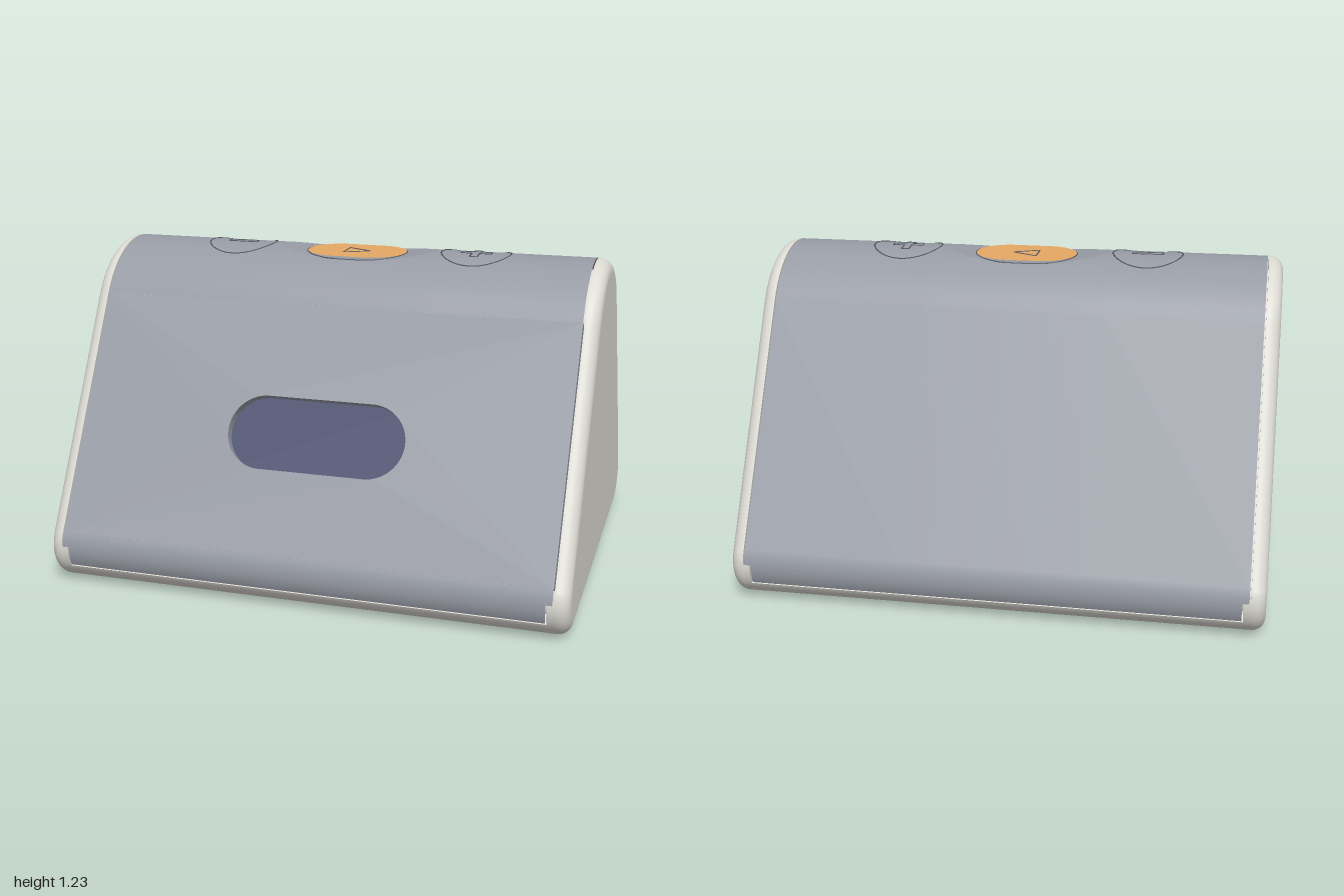
import * as THREE from 'three';

const mat = (name, color, side = THREE.FrontSide) => {
  const m = new THREE.MeshStandardMaterial({ color, side });
  m.name = name;
  return m;
};
const rad = THREE.MathUtils.degToRad;

// Rounded triangle section: one ridge circle and two foot circles, [z, y, radius]
const RIDGE = [0, 0.87, 0.355], FRONT = [0.67, 0.14, 0.14], BACK = [-0.67, 0.14, 0.14];
const arc = ([z, y, r], a0, a1, n, inset = 0) => Array.from({ length: n + 1 }, (_, i) => {
  const a = rad(a0 + (a1 - a0) * i / n);
  return new THREE.Vector2(z + (r - inset) * Math.cos(a), y + (r - inset) * Math.sin(a));
});
const profile = (inset) => [
  ...arc(RIDGE, 30, 150, 40, inset), ...arc(BACK, 150, 270, 24, inset), ...arc(FRONT, 270, 390, 24, inset),
];

// Shallow thumb scoop across the ridge
const scoopY = (x) => 1.197 + 1.73 - Math.sqrt(1.73 ** 2 - Math.min(Math.abs(x), 1) ** 2);
const topY = (x, z) => Math.min(0.87 + Math.sqrt(0.355 ** 2 - z * z), scoopY(x));
const playY = (x) => scoopY(x) + 0.002 + 0.01 * (1 - (x / 0.2) ** 2);

// Smooth surface through a grid of points; rows run over the ridge, columns along x
function grid(rows, cols, fn, closed = false) {
  const pos = [], idx = [];
  for (let i = 0; i < rows; i++) for (let j = 0; j < cols; j++) pos.push(...fn(i, j));
  for (let i = 0; i < (closed ? rows : rows - 1); i++) {
    for (let j = 0; j < cols - 1; j++) {
      const a = i * cols + j, c = ((i + 1) % rows) * cols + j;
      idx.push(a, a + 1, c, a + 1, c + 1, c);
    }
  }
  const g = new THREE.BufferGeometry();
  g.setAttribute('position', new THREE.Float32BufferAttribute(pos, 3));
  g.setIndex(idx);
  g.computeVertexNormals();
  return g;
}

// Extrude a (z, y) section along x
function slab(points, x0, x1, holes = []) {
  const shape = new THREE.Shape(points.map((p) => new THREE.Vector2(-p.x, p.y)));
  shape.holes.push(...holes);
  return new THREE.ExtrudeGeometry(shape, { depth: x1 - x0, bevelEnabled: false, curveSegments: 12 })
    .rotateY(Math.PI / 2).translate(x0, 0, 0);
}
const hole = (x, y, r) => new THREE.Path().absarc(x, y, r, 0, Math.PI * 2, true);

// Closed pill outline with half width w and end radius r
function pill(Type, w, r, cx = 0, cy = 0) {
  const p = new Type();
  p.absarc(cx + w - r, cy, r, -Math.PI / 2, Math.PI / 2, false);
  p.absarc(cx - w + r, cy, r, Math.PI / 2, Math.PI * 1.5, false);
  p.closePath();
  return p;
}

export function createModel() {
  const shellMat = mat('slate grey', 0x979ba4, THREE.DoubleSide);
  const baseMat = mat('warm white', 0xdcdad3);
  const orangeMat = mat('orange', 0xe6a865);
  const navyMat = mat('navy', 0x454a6c);
  const grooveMat = mat('groove grey', 0x55585f);

  const model = new THREE.Group();
  const add = (name, geo, material, parent = model) => {
    const m = new THREE.Mesh(geo, material);
    m.name = name;
    parent.add(m);
    return m;
  };

  // Inner body
  add('core', slab(profile(0.046), -0.945, 0.945), baseMat);

  // End caps with rounded rims; the right one carries the speaker holes
  for (const side of [1, -1]) {
    const cap = new THREE.Group();
    cap.name = side > 0 ? 'leftCap' : 'rightCap';
    const R = 0.05, steps = 8;
    const rings = Array.from({ length: steps + 1 }, (_, j) => profile(R * (1 - Math.cos(j / steps * Math.PI / 2))));
    // drop the repeated closing point
    const n = rings[0].length - 1;
    add('capRim', grid(n, steps + 1, (i, j) =>
      [0.95 + R * Math.sin(j / steps * Math.PI / 2), rings[j][i].y, rings[j][i].x], true), baseMat, cap);
    const holes = [];
    if (side < 0) {
      for (const [count, r] of [[1, 0], [7, 0.125], [14, 0.25]]) {
        for (let k = 0; k < count; k++) {
          const a = Math.PI / 2 + k / count * Math.PI * 2;
          holes.push(hole(r * Math.cos(a), 0.45 + r * Math.sin(a), 0.02));
        }
      }
    }
    add('capFace', slab(profile(R), 0.97, 1, holes), baseMat, cap);
    add('capInnerEdge', slab(profile(0), 0.945, 0.95), baseMat, cap);
    if (side < 0) cap.rotation.y = Math.PI;
    model.add(cap);
  }

  // Base tray: bottom plate with screw holes, rounded long edges and corner lugs
  const plate = new THREE.Shape([[-0.95, -0.67], [0.95, -0.67], [0.95, 0.67], [-0.95, 0.67]]
    .map((p) => new THREE.Vector2(...p)));
  for (const x of [-0.91, 0.91]) for (const z of [-0.64, 0.64]) plate.holes.push(hole(x, z, 0.02));
  add('bottomPlate', new THREE.ExtrudeGeometry(plate, { depth: 0.03, bevelEnabled: false })
    .rotateX(Math.PI / 2).translate(0, 0.03, 0), baseMat);
  const wedge = (a0, a1) => [new THREE.Vector2(FRONT[0], FRONT[1]), ...arc(FRONT, a0, a1, 20)];
  for (const turn of [0, Math.PI]) {
    add('trayEdge', slab(wedge(-90, -27.7), -0.946, 0.946), baseMat).rotation.y = turn;
    for (const x of [-0.946, 0.92]) add('cornerLug', slab(wedge(-27.7, 5.7), x, x + 0.026), baseMat).rotation.y = turn;
  }

  // Wrap-around cover: ridge and back, with the scoop pressed in
  const xs = [-0.94, ...Array.from({ length: 57 }, (_, i) => -0.35 + i * 0.0125), 0.94];
  const sheet = (path, columns) => grid(path.length, columns.length, (i, j) =>
    [columns[j], Math.min(path[i].y, scoopY(columns[j])), path[i].x]);
  add('coverTopAndBack', sheet([...arc(RIDGE, 30, 150, 96), ...arc(BACK, 150, 173.8, 8)], xs), shellMat);
  add('coverBackLip', sheet(arc(BACK, 173.8, 205.4, 8), [-0.915, 0.915]), shellMat);
  add('coverFrontCurve', sheet(arc(FRONT, 6.2, 30, 8), [-0.94, 0.94]), shellMat);
  add('coverFrontLip', sheet(arc(FRONT, -25.4, 6.2, 8), [-0.915, 0.915]), shellMat);

  // Sloping front panel with the display window
  const front = new THREE.Group();
  front.name = 'frontPanel';
  front.position.set(0, 0.21, 0.791);
  front.rotation.x = -Math.PI / 6;
  const panel = new THREE.Shape([[-0.94, 0], [0.94, 0], [0.94, 0.967], [-0.94, 0.967]]
    .map((p) => new THREE.Vector2(...p)));
  panel.holes.push(pill(THREE.Path, 0.345, 0.1415, 0, 0.459));
  add('coverFront', new THREE.ExtrudeGeometry(panel, { depth: 0.04, bevelEnabled: false, curveSegments: 24 })
    .translate(0, 0, -0.04), shellMat, front);
  add('display', new THREE.BoxGeometry(0.72, 0.31, 0.005).translate(0, 0.459, -0.0435), navyMat, front);
  model.add(front);

  // Orange play button lying in the scoop
  const halfZ = (x) => Math.sqrt(Math.max(0, 0.135 ** 2 - Math.max(0, Math.abs(x) - 0.065) ** 2));
  add('playButton', grid(13, 41, (i, j) => {
    const x = -0.2 * Math.cos(j / 40 * Math.PI);
    return [x, playY(x), -(i / 6 - 1) * halfZ(x)];
  }), orangeMat);

  // Fine grooves draped over the ridge: button rims and symbols
  const groove = (name, points, height) => {
    const path = new THREE.CurvePath();
    const fine = [];
    points.forEach(([x, z], i) => {
      const [x2, z2] = points[(i + 1) % points.length];
      const n = Math.max(1, Math.ceil(Math.hypot(x2 - x, z2 - z) / 0.02));
      for (let k = 0; k < n; k++) {
        const px = x + (x2 - x) * k / n, pz = z + (z2 - z) * k / n;
        fine.push(new THREE.Vector3(px, height(px, pz), pz));
      }
    });
    fine.forEach((p, i) => path.add(new THREE.LineCurve3(p, fine[(i + 1) % fine.length])));
    add(name, new THREE.TubeGeometry(path, fine.length * 2, 0.003, 5, true), grooveMat);
  };
  const circle = (cx, r) => Array.from({ length: 48 }, (_, i) =>
    [cx + r * Math.cos(i / 24 * Math.PI), r * Math.sin(i / 24 * Math.PI)]);
  for (const x of [-0.48, 0.48]) groove('buttonRim', circle(x, 0.136), topY);
  groove('playRim', pill(THREE.Path, 0.2, 0.135).getPoints(20).slice(0, -1).map((p) => [p.x, p.y]), scoopY);
  groove('playSymbol', [[-0.045, -0.05], [0.055, 0], [-0.045, 0.05]], playY);
  groove('minusSymbol', [[-0.54, -0.015], [-0.42, -0.015], [-0.42, 0.015], [-0.54, 0.015]], topY);
  const a = 0.015, b = 0.06;
  groove('plusSymbol', [[-b, -a], [-a, -a], [-a, -b], [a, -b], [a, -a], [b, -a],
    [b, a], [a, a], [a, b], [-a, b], [-a, a], [-b, a]].map(([x, z]) => [x + 0.48, z]), topY);

  return model;
}
